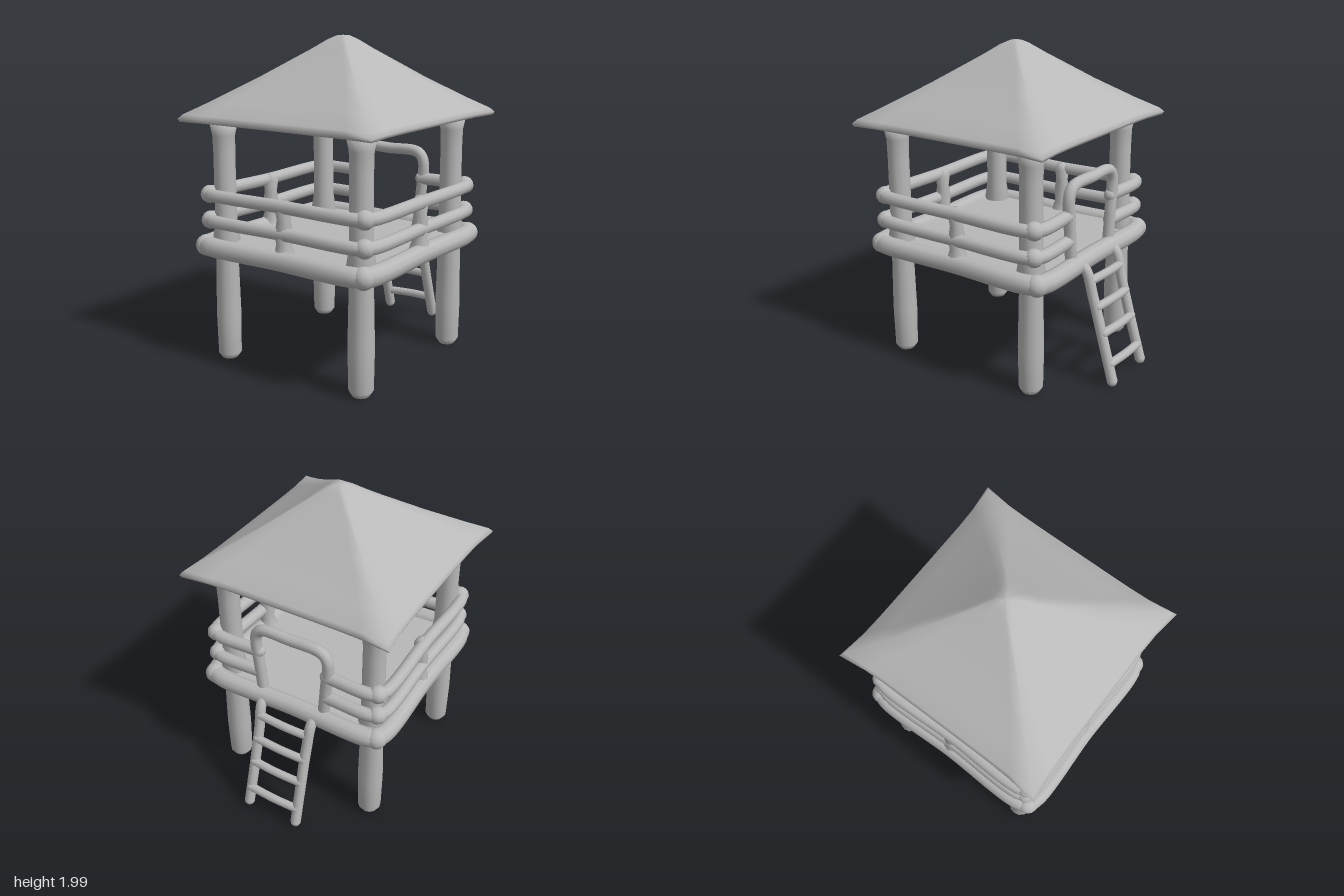
import * as THREE from 'three';

const CX = -0.11; // centre line of the tower; the ladder hangs off its left side
const V = (x, y, z) => new THREE.Vector3(x, y, z);

export function createModel() {
  const group = new THREE.Group();
  const clay = new THREE.MeshStandardMaterial({ color: 0xb8b8b8 });
  clay.name = 'greyWood';

  const add = (name, geometry, x = 0, y = 0, z = 0) => {
    const mesh = new THREE.Mesh(geometry, clay);
    mesh.name = name;
    mesh.position.set(x, y, z);
    group.add(mesh);
    return mesh;
  };

  // Rounded log along a polyline, with ball ends and soft corners
  const log = (name, points, r, closed = false) => {
    const curve = new THREE.CatmullRomCurve3(points, closed, 'centripetal');
    add(name, new THREE.TubeGeometry(curve, points.length * 8, r, 10, closed));
    if (closed) return;
    for (const p of [points[0], points[points.length - 1]])
      add(name + 'End', new THREE.SphereGeometry(r, 10, 8), p.x, p.y, p.z);
  };

  // Points of a square frame with small chamfered corners
  const frame = (hx, hz, y, c) => {
    const pts = [];
    for (const [sx, sz] of [[1, 1], [-1, 1], [-1, -1], [1, -1]]) {
      const a = V(CX + sx * hx, y, sz * (hz - c));
      const b = V(CX + sx * (hx - c), y, sz * hz);
      const mid = V(CX + sx * hx, y, 0), front = V(CX, y, sz * hz);
      if (sx * sz > 0) pts.push(a, b, front);
      else pts.push(b, a, mid);
    }
    return pts;
  };

  // Corner posts, slightly thicker below the deck and flared under the roof
  const profile = [[0, 0.01], [0.05, 0.01], [0.073, 0.045], [0.078, 0.3], [0.07, 0.68],
    [0.085, 0.78], [0.069, 0.88], [0.067, 1.3], [0.07, 1.42], [0.085, 1.49], [0, 1.52]]
    .map(([r, y]) => new THREE.Vector2(r, y));
  for (const sx of [-1, 1]) for (const sz of [-1, 1])
    add('cornerPost', new THREE.LatheGeometry(profile, 12), CX + sx * 0.495, 0, sz * 0.5);

  // Deck and its log rim
  add('deckFloor', new THREE.BoxGeometry(1.21, 0.075, 1.19), CX, 0.73, 0);
  log('deckRim', frame(0.602, 0.59, 0.745, 0.04), 0.06, true);
  for (const sx of [-1, 1]) for (const sz of [-1, 1])
    add('deckRimCorner', new THREE.SphereGeometry(0.066, 12, 8), CX + sx * 0.59, 0.745, sz * 0.58);

  // Two rails round three sides, broken by the ladder opening
  const rx = 0.58, rz = 0.585, gap = 0.235, c = 0.04;
  for (const y of [0.9, 1.06]) {
    log('guardRail', [
      V(CX + rx, y, gap), V(CX + rx, y, rz - c), V(CX + rx - c, y, rz), V(CX, y - 0.005, rz),
      V(CX - rx + c, y, rz), V(CX - rx, y, rz - c), V(CX - rx, y, 0),
      V(CX - rx, y, -rz + c), V(CX - rx + c, y, -rz), V(CX, y - 0.005, -rz),
      V(CX + rx - c, y, -rz), V(CX + rx, y, -rz + c), V(CX + rx, y, -gap),
    ], 0.04);
    for (const sx of [-1, 1]) for (const sz of [-1, 1]) {
      const knot = add('railKnot', new THREE.SphereGeometry(0.058, 10, 8),
        CX + sx * (rx - 0.02), y, sz * (rz - 0.02));
      knot.scale.y = 0.95;
    }
  }

  // Short stakes in the middle of the three railed sides
  const stake = new THREE.LatheGeometry([[0.065, 0.77], [0.045, 0.83], [0.052, 0.9],
    [0.04, 0.98], [0.05, 1.05], [0.03, 1.09], [0, 1.095]]
    .map(([r, y]) => new THREE.Vector2(r, y)), 10);
  add('frontStake', stake, CX + 0.01, 0, rz - 0.015);
  add('backStake', stake, CX + 0.01, 0, -rz + 0.015);
  add('sideStake', stake, CX - rx + 0.015, 0, 0.01);

  // Arch over the ladder opening
  const ax = CX + rx + 0.005;
  log('entryArch', [V(ax, 0.76, 0.215), V(ax, 0.95, 0.232), V(ax, 1.18, 0.245),
    V(ax, 1.23, 0.205), V(ax, 1.237, 0), V(ax, 1.23, -0.205), V(ax, 1.18, -0.245),
    V(ax, 0.95, -0.232), V(ax, 0.76, -0.215)], 0.036);

  // Leaning ladder
  for (const s of [-1, 1])
    log('ladderRail', [V(0.47, 0.755, s * 0.185), V(0.55, 0.73, s * 0.18), V(0.605, 0.56, s * 0.172),
      V(0.68, 0.3, s * 0.172), V(0.755, 0.045, s * 0.175)], 0.033);
  for (const y of [0.655, 0.495, 0.335, 0.15]) {
    const x = 0.59 + (0.655 - y) * 0.29;
    log('ladderRung', [V(x, y - 0.008, -0.17), V(x + 0.008, y, 0), V(x, y + 0.004, 0.17)], 0.027);
  }

  // Roof: square rings from peak to eave, then a nearly flat underside
  // ring = [height, half width at side, half width at corner, centre x]
  const rings = [
    [2.0, 0.001, 0.001, -0.075], [1.998, 0.03, 0.024, -0.075], [1.975, 0.075, 0.062, -0.078],
    [1.92, 0.14, 0.133, -0.083], [1.75, 0.358, 0.36, -0.095], [1.62, 0.545, 0.55, -0.102],
    [1.545, 0.65, 0.668, -0.103], [1.52, 0.662, 0.69, -0.103], [1.502, 0.655, 0.682, -0.103],
    [1.495, 0.625, 0.645, -0.103], [1.505, 0.4, 0.4, -0.1], [1.51, 0.001, 0.001, -0.1],
  ];
  const N = 48, pos = [], idx = [];
  for (const [y, side, corner, cx] of rings)
    for (let i = 0; i < N; i++) {
      const a = (i / N) * Math.PI * 2, co = Math.cos(a), si = Math.sin(a);
      const m = Math.max(Math.abs(co), Math.abs(si));
      const t = Math.min(Math.abs(co), Math.abs(si)) / m; // 0 mid-side, 1 corner
      const h = side + (corner - side) * t ** 6;
      pos.push(cx + (co / m) * h, y, (si / m) * h);
    }
  for (let k = 0; k < rings.length - 1; k++)
    for (let i = 0; i < N; i++) {
      const j = (i + 1) % N, p = k * N, q = p + N;
      idx.push(p + i, p + j, q + i, p + j, q + j, q + i);
    }
  const roof = new THREE.BufferGeometry();
  roof.setAttribute('position', new THREE.Float32BufferAttribute(pos, 3));
  roof.setIndex(idx);
  roof.computeVertexNormals();
  add('roof', roof);

  return group;
}
